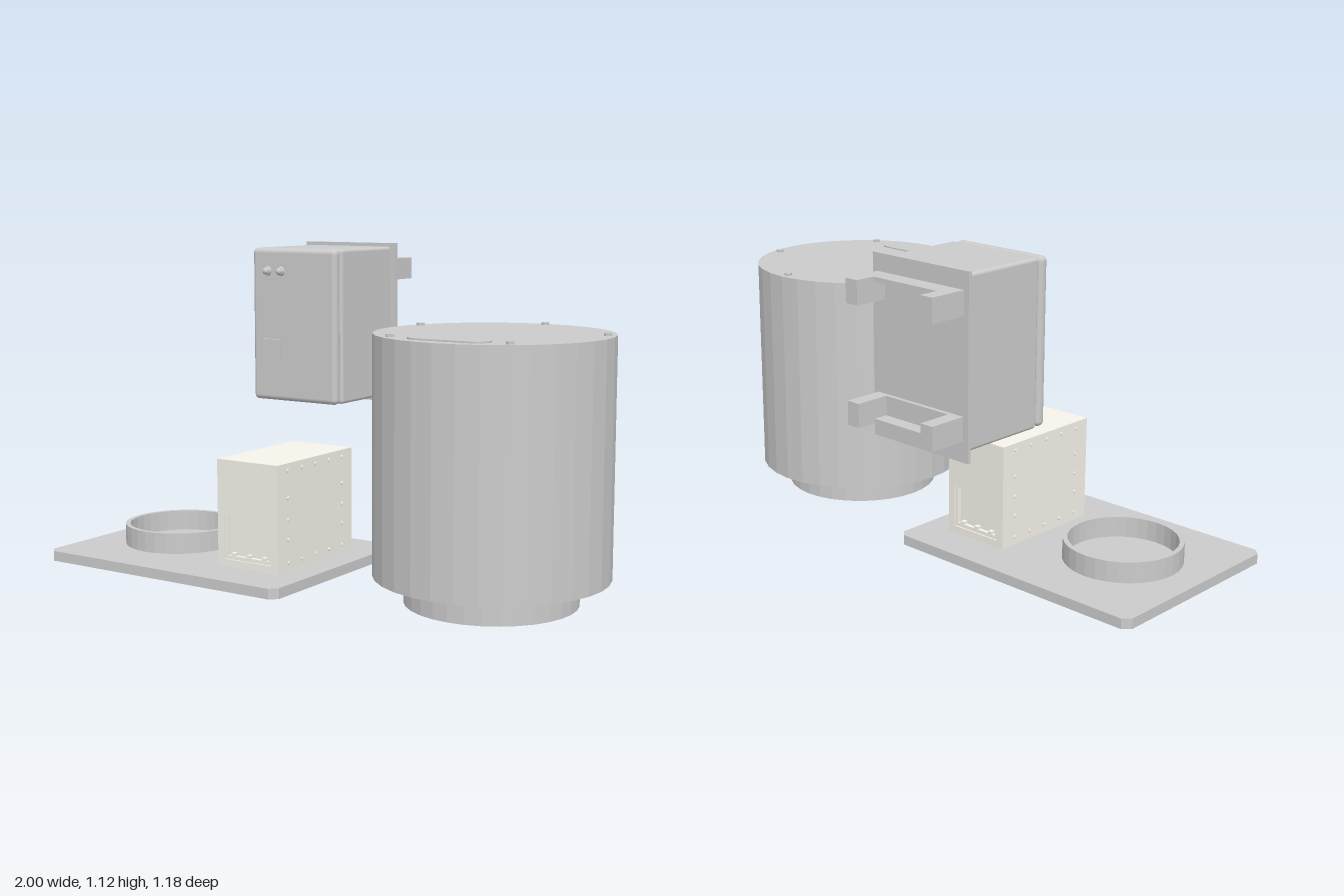
import * as THREE from 'three';
import { RoundedBoxGeometry } from 'three/addons/geometries/RoundedBoxGeometry.js';

const grey = new THREE.MeshStandardMaterial({ color: 0xcccccc });
const facet = new THREE.MeshStandardMaterial({ color: 0xcccccc, flatShading: true });
const cream = new THREE.MeshStandardMaterial({ color: 0xf6f4ea });

function add(parent, name, geometry, material = grey, x = 0, y = 0, z = 0) {
  const mesh = new THREE.Mesh(geometry, material);
  mesh.name = name;
  mesh.position.set(x, y, z);
  parent.add(mesh);
  return mesh;
}

// Box given by its limits on each axis
function box(parent, name, x0, x1, y0, y1, z0, z1, material = grey, radius = 0) {
  const w = x1 - x0, h = y1 - y0, d = z1 - z0;
  const g = radius ? new RoundedBoxGeometry(w, h, d, 3, radius) : new THREE.BoxGeometry(w, h, d);
  return add(parent, name, g, material, (x0 + x1) / 2, (y0 + y1) / 2, (z0 + z1) / 2);
}

function group(parent, name) {
  const g = new THREE.Group();
  g.name = name;
  parent.add(g);
  return g;
}

const rectPoints = (x0, x1, y0, y1) =>
  [[x0, y0], [x1, y0], [x1, y1], [x0, y1]].map(p => new THREE.Vector2(...p));

// Large drum on a narrower neck, with lid bolts and a slot-shaped plate
function buildDrum(root) {
  const drum = group(root, 'drum');
  drum.position.set(0.61, 0, 0.203);
  add(drum, 'drumBody', new THREE.CylinderGeometry(0.387, 0.387, 0.785, 32), facet, 0, 0.4825, 0);
  add(drum, 'drumNeck', new THREE.CylinderGeometry(0.285, 0.285, 0.09, 32), facet, 0, 0.045, 0);
  for (let i = 0; i < 5; i++) {
    const a = i * Math.PI * 2 / 5;
    add(drum, 'lidBolt', new THREE.CylinderGeometry(0.013, 0.013, 0.012, 8), facet,
      Math.sin(a) * 0.357, 0.878, -Math.cos(a) * 0.357);
  }
  const slot = new THREE.Shape();
  slot.absarc(0.092, 0, 0.048, -Math.PI / 2, Math.PI / 2);
  slot.absarc(-0.092, 0, 0.048, Math.PI / 2, Math.PI * 1.5);
  const plate = add(drum, 'lidPlate',
    new THREE.ExtrudeGeometry(slot, { depth: 0.005, bevelEnabled: false }), grey, 0, 0.875, 0.285);
  plate.rotation.x = -Math.PI / 2;
}

// Flat base with clipped corners and a raised locating ring
function buildBase(root) {
  const base = group(root, 'base');
  const w = 0.507, d = 0.378, c = 0.025;
  const outline = new THREE.Shape([
    [-w + c, -d], [w - c, -d], [w, -d + c], [w, d - c],
    [w - c, d], [-w + c, d], [-w, d - c], [-w, -d + c],
  ].map(p => new THREE.Vector2(...p)));
  const plate = add(base, 'basePlate',
    new THREE.ExtrudeGeometry(outline, { depth: 0.036, bevelEnabled: false }), grey, -0.493, 0, 0.2);
  plate.rotation.x = -Math.PI / 2;
  const section = [[0.19, 0.03], [0.207, 0.03], [0.207, 0.11], [0.19, 0.11], [0.19, 0.03]]
    .map(p => new THREE.Vector2(...p));
  add(base, 'locatingRing', new THREE.LatheGeometry(section, 32), facet, -0.69, 0, 0.2);
}

// Pale housing with an opening at each end and screws along its sides
function buildHousing(root) {
  const housing = group(root, 'housing');
  const x0 = -0.348, x1 = -0.092, y0 = 0.036, y1 = 0.41, z0 = -0.033, z1 = 0.415;
  const shell = new THREE.Shape(rectPoints(x0, x1, y0, y1));
  shell.holes.push(new THREE.Path(rectPoints(-0.32, -0.12, 0.062, 0.218)));
  add(housing, 'housingShell',
    new THREE.ExtrudeGeometry(shell, { depth: z1 - z0, bevelEnabled: false }), cream, 0, 0, z0);
  box(housing, 'innerPanel', -0.33, -0.11, 0.05, 0.23, z0 + 0.022, z1 - 0.022, cream);

  for (const end of [1, -1]) {
    const z = end > 0 ? z1 - 0.012 : z0 + 0.012;
    // Thin inner frame and small bottom tabs
    const frame = new THREE.Shape(rectPoints(-0.32, -0.12, 0.062, 0.218));
    frame.holes.push(new THREE.Path(rectPoints(-0.308, -0.132, 0.075, 0.208)));
    add(housing, 'openingFrame',
      new THREE.ExtrudeGeometry(frame, { depth: 0.014, bevelEnabled: false }), cream, 0, 0, z - 0.007);
    for (const x of [-0.285, -0.22, -0.155])
      box(housing, 'openingTab', x - 0.008, x + 0.008, 0.07, 0.085, z - 0.009, z + 0.009, cream);
  }

  // Screws follow the edge of both long sides
  const spots = [];
  for (let i = 0; i < 5; i++) {
    const z = 0.03 + i * 0.081;
    spots.push([0.065, z], [0.385, z]);
  }
  for (const y of [0.145, 0.215, 0.29]) spots.push([y, 0.03], [y, 0.354]);
  for (const x of [x0, x1]) for (const [y, z] of spots) {
    const screw = add(housing, 'sideScrew', new THREE.CylinderGeometry(0.007, 0.007, 0.01, 8), cream, x, y, z);
    screw.rotation.z = Math.PI / 2;
  }
}

// Wall cabinet with a rounded door, controls, back plate and two brackets
function buildCabinet(root) {
  const cabinet = group(root, 'cabinet');
  const x0 = -0.56, x1 = -0.188;
  box(cabinet, 'cabinetBody', x0, x1, 0.548, 1.112, -0.45, -0.115, grey, 0.012);
  box(cabinet, 'doorSeal', x0 + 0.012, x1 - 0.012, 0.56, 1.1, -0.125, -0.095);
  box(cabinet, 'door', x0, x1, 0.548, 1.112, -0.11, -0.071, grey, 0.018);
  box(cabinet, 'backPlate', -0.58, -0.167, 0.52, 1.125, -0.46, -0.447);
  box(cabinet, 'doorLatch', -0.499, -0.425, 0.705, 0.777, -0.075, -0.058);
  for (const x of [-0.489, -0.429]) {
    const stem = add(cabinet, 'knobStem', new THREE.CylinderGeometry(0.015, 0.018, 0.012, 16), grey, x, 1.028, -0.066);
    stem.rotation.x = Math.PI / 2;
    add(cabinet, 'knob', new THREE.SphereGeometry(0.013, 14, 10), grey, x, 1.028, -0.06);
  }
  // Angle-section brackets with arms at both ends, mirrored top to bottom
  for (const [centre, side] of [[1.026, 1], [0.629, -1]]) {
    const bracket = group(cabinet, side > 0 ? 'upperBracket' : 'lowerBracket');
    bracket.position.y = centre;
    for (const x of [-0.56, -0.237])
      box(bracket, 'bracketArm', x, x + 0.05, -0.04, 0.04, -0.595, -0.46);
    box(bracket, 'bracketWeb', -0.51, -0.237, -0.04, 0.04, -0.475, -0.46);
    const y = side * 0.0325;
    box(bracket, 'bracketFlange', -0.51, -0.237, y - 0.0075, y + 0.0075, -0.525, -0.475);
  }
}

export function createModel() {
  const root = new THREE.Group();
  root.name = 'equipmentSet';
  buildDrum(root);
  buildBase(root);
  buildHousing(root);
  buildCabinet(root);
  return root;
}
